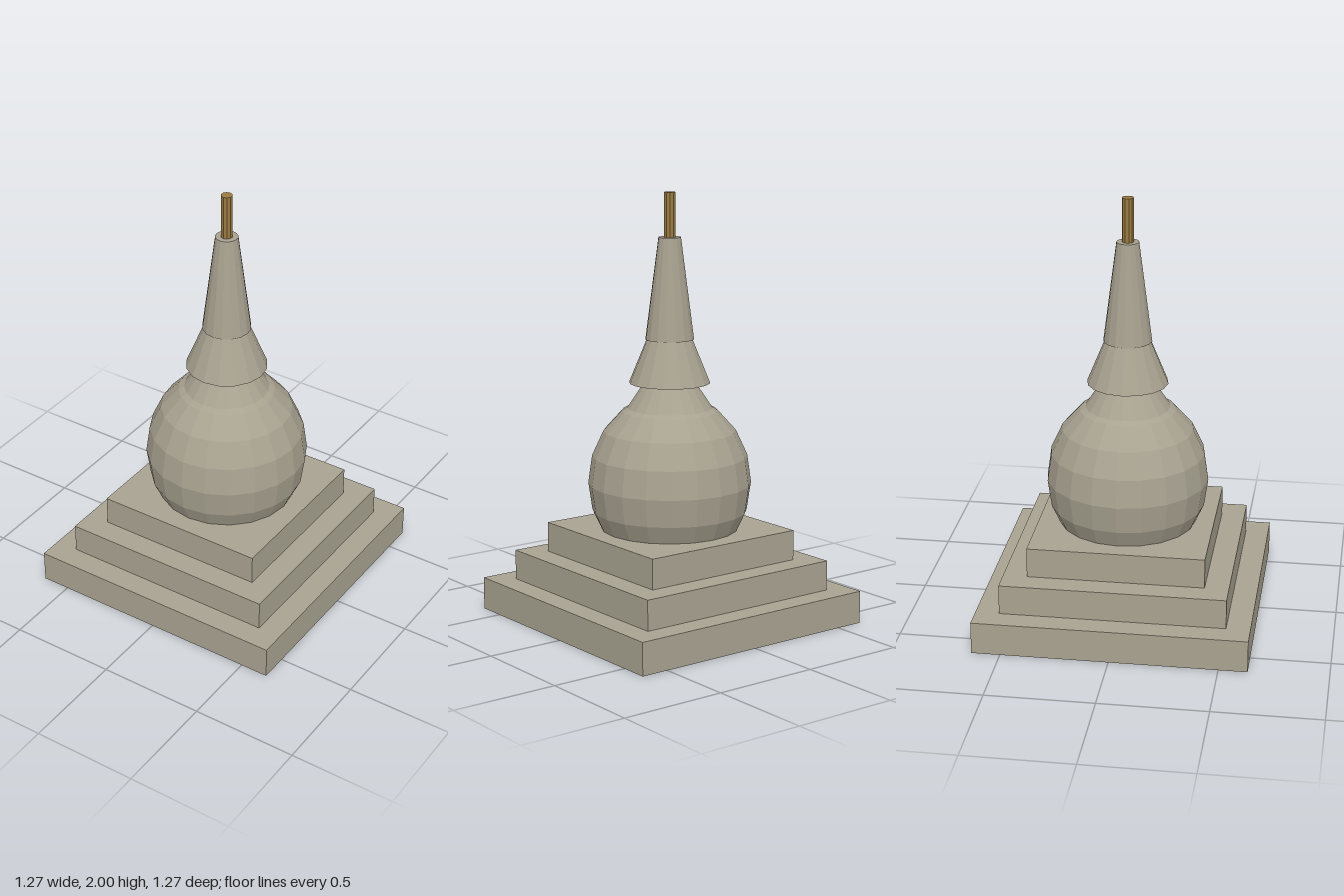
import * as THREE from 'three';

export function createModel() {
  const group = new THREE.Group();
  const stone = new THREE.MeshStandardMaterial({ color: 0xa8a290, flatShading: true });
  const brass = new THREE.MeshStandardMaterial({ color: 0x9a7a42, flatShading: true });

  function add(name, geometry, y, material = stone) {
    const mesh = new THREE.Mesh(geometry, material);
    mesh.name = name;
    mesh.position.y = y;
    group.add(mesh);
    return mesh;
  }

  // Tapered round section between two heights
  function taper(name, y0, y1, r0, r1, sides, material) {
    add(name, new THREE.CylinderGeometry(r1, r0, y1 - y0, sides), (y0 + y1) / 2, material);
  }

  // Stepped square base
  const steps = [
    [1.266, 0, 0.153],
    [1.045, 0.153, 0.294],
    [0.822, 0.294, 0.435],
  ];
  steps.forEach(([width, y0, y1], i) => {
    add(`baseStep${i + 1}`, new THREE.BoxGeometry(width, y1 - y0, width), (y0 + y1) / 2);
  });

  // Slightly stretched dome sunk into the top step
  add('dome', new THREE.SphereGeometry(0.38, 20, 10).scale(1, 1.105, 1), 0.65);

  // Neck, flared collar, spire and finial
  taper('neck', 0.96, 1.15, 0.227, 0.1, 20);
  taper('collar', 1.122, 1.325, 0.189, 0.106, 16);
  taper('spire', 1.325, 1.795, 0.113, 0.052, 16);
  taper('finial', 1.795, 2, 0.027, 0.027, 10, brass);

  return group;
}
